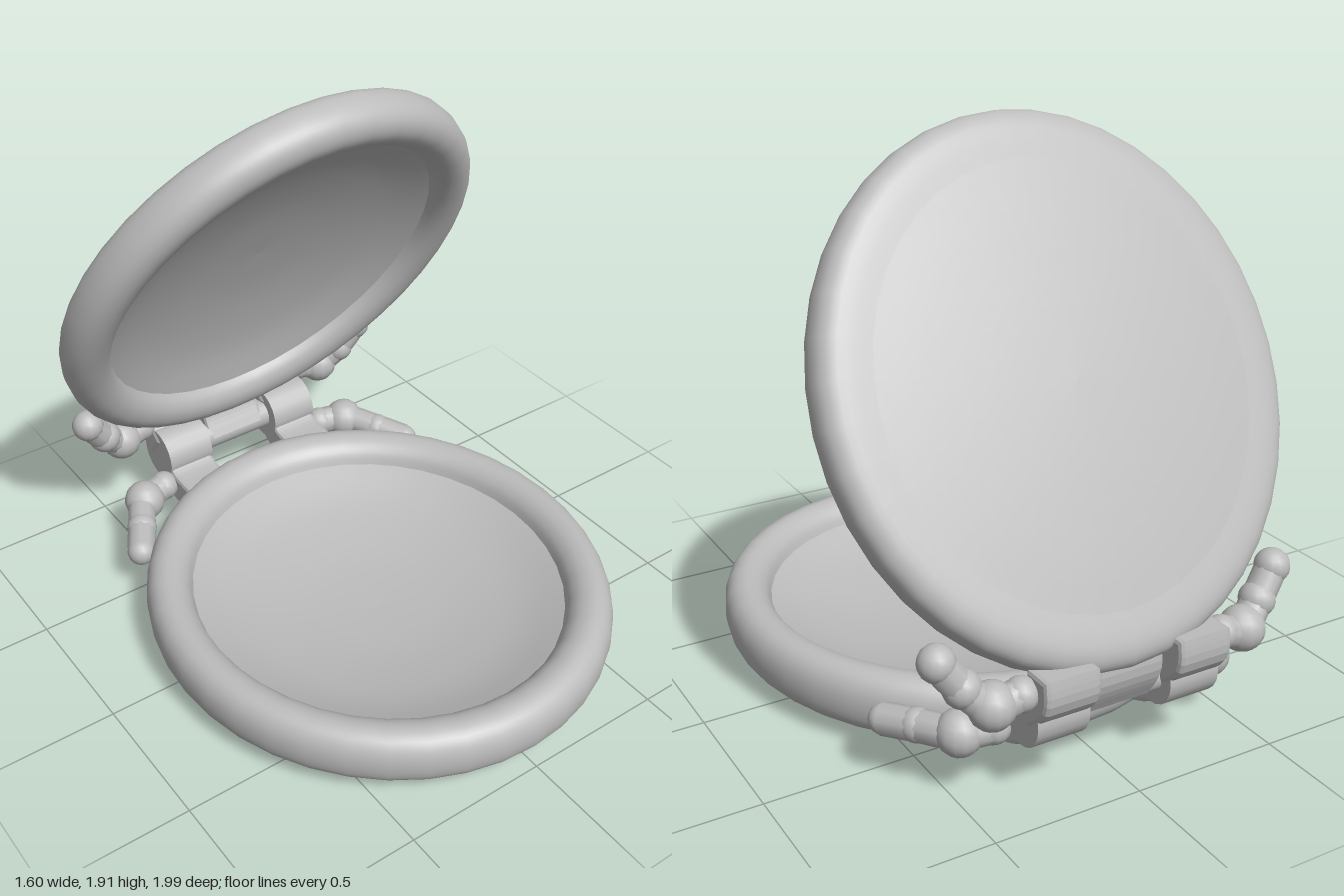
import * as THREE from 'three';

const grey = new THREE.MeshStandardMaterial({ color: 0xbcbcbc });
grey.name = 'plain grey';

function add(parent, name, geometry) {
  const mesh = new THREE.Mesh(geometry, grey);
  mesh.name = name;
  parent.add(mesh);
  return mesh;
}

// Oval surface turned from a profile of radius and height, bottom to top
function oval(points, samples) {
  const curve = new THREE.SplineCurve(points.map(([r, y]) => new THREE.Vector2(r, y)));
  const profile = curve.getPoints(samples);
  profile.forEach(p => { p.x = Math.max(0, p.x); });
  return new THREE.LatheGeometry(profile, 40).scale(0.8, 1, 0.86);
}

// One half of the case: fat rounded rim, bulging outer panel, hollow inside
function shell(name) {
  const g = new THREE.Group();
  g.name = name;
  add(g, name + 'OuterPanel', oval([[0, 0], [0.3, 0.006], [0.6, 0.02], [0.8, 0.035]], 10));
  add(g, name + 'Rim', oval([
    [0.8, 0.035], [0.92, 0.043], [0.98, 0.075], [1, 0.13], [0.995, 0.19],
    [0.965, 0.232], [0.915, 0.25], [0.86, 0.24], [0.82, 0.21], [0.8, 0.17]], 32));
  add(g, name + 'InnerDish', oval([[0.8, 0.17], [0.6, 0.105], [0.3, 0.058], [0, 0.045]], 12));
  return g;
}

// Lumpy ornament: spheres along a path, joined by a tube
function ornament(parent, name, side, balls) {
  const g = new THREE.Group();
  g.name = name;
  const path = balls.map(([x, y, z]) => new THREE.Vector3(x * side, y, z));
  const curve = new THREE.CatmullRomCurve3(path);
  add(g, name + 'Stem', new THREE.TubeGeometry(curve, 16, 0.052, 10));
  balls.forEach(([, , , r], i) => {
    add(g, name + 'Lobe', new THREE.SphereGeometry(r, 14, 10)).position.copy(path[i]);
  });
  parent.add(g);
}

// Rounded arm of the hinge, drawn in the z/y plane and extruded along x
function hingeArm(parent, name, x, width, points, thickness) {
  const shape = new THREE.Shape();
  const curve = new THREE.SplineCurve(points.map(([z, y]) => new THREE.Vector2(-z, y)));
  const left = [], right = [];
  for (let i = 0; i <= 10; i++) {
    const p = curve.getPoint(i / 10), t = curve.getTangent(i / 10);
    const n = new THREE.Vector2(-t.y, t.x).multiplyScalar(thickness / 2);
    left.push(p.clone().add(n));
    right.unshift(p.clone().sub(n));
  }
  shape.setFromPoints([...left, ...right]);
  const b = 0.015;
  const geo = new THREE.ExtrudeGeometry(shape, {
    depth: width - 2 * b, bevelThickness: b, bevelSize: b, bevelSegments: 2 });
  geo.translate(0, 0, -width / 2 + b).rotateY(Math.PI / 2);
  add(parent, name, geo).position.x = x;
}

export function createModel() {
  const model = new THREE.Group();
  model.name = 'compactCase';

  // Lower half, rising very slightly to the back
  const base = shell('base');
  base.traverse(o => {
    if (!o.isMesh) return;
    const p = o.geometry.attributes.position;
    for (let i = 0; i < p.count; i++) {
      p.setY(i, p.getY(i) - 0.012 * p.getZ(i) * p.getY(i) / 0.2);
    }
  });
  base.position.z = 0.135;
  model.add(base);

  // Upper half, tipped forward over the base
  const lid = shell('lid');
  const tilt = 2.06, middle = 0.125 * 0.85;
  lid.scale.set(0.985, 0.85, 1);
  lid.rotation.x = tilt;
  lid.position.set(0, 1.14 - middle * Math.cos(tilt), -0.52 - middle * Math.sin(tilt));
  model.add(lid);

  // Hinge: pin, two outer knuckles and a middle tongue
  const hinge = new THREE.Group();
  hinge.name = 'hinge';
  model.add(hinge);
  const barrel = (name, x, r, length) => {
    const m = add(hinge, name, new THREE.CylinderGeometry(r, r, length, 20).rotateZ(Math.PI / 2));
    m.position.set(x, 0.28, -0.84);
  };
  barrel('hingePin', 0, 0.055, 0.6);
  for (const side of [-1, 1]) {
    barrel('hingeKnuckle', side * 0.235, 0.1, 0.18);
    hingeArm(hinge, 'hingeBaseArm', side * 0.235, 0.18,
      [[-0.62, 0.18], [-0.74, 0.19], [-0.84, 0.25]], 0.09);
    hingeArm(hinge, 'hingeLidArm', side * 0.235, 0.19,
      [[-0.86, 0.31], [-0.93, 0.37], [-0.93, 0.44]], 0.08);
  }
  hingeArm(hinge, 'hingeTongue', 0, 0.24, [[-0.84, 0.28], [-0.88, 0.36], [-0.87, 0.45]], 0.08);

  // Lumpy ornaments beside the hinge on both halves
  for (const side of [-1, 1]) {
    ornament(model, 'lidOrnament', side, [
      [0.6, 0.53, -0.84, 0.058], [0.53, 0.44, -0.86, 0.06],
      [0.45, 0.375, -0.89, 0.075], [0.36, 0.39, -0.9, 0.055]]);
    ornament(model, 'baseOrnament', side, [
      [0.6, 0.165, -0.5, 0.05], [0.54, 0.18, -0.6, 0.055],
      [0.46, 0.195, -0.72, 0.075], [0.36, 0.2, -0.75, 0.055]]);
  }
  return model;
}
